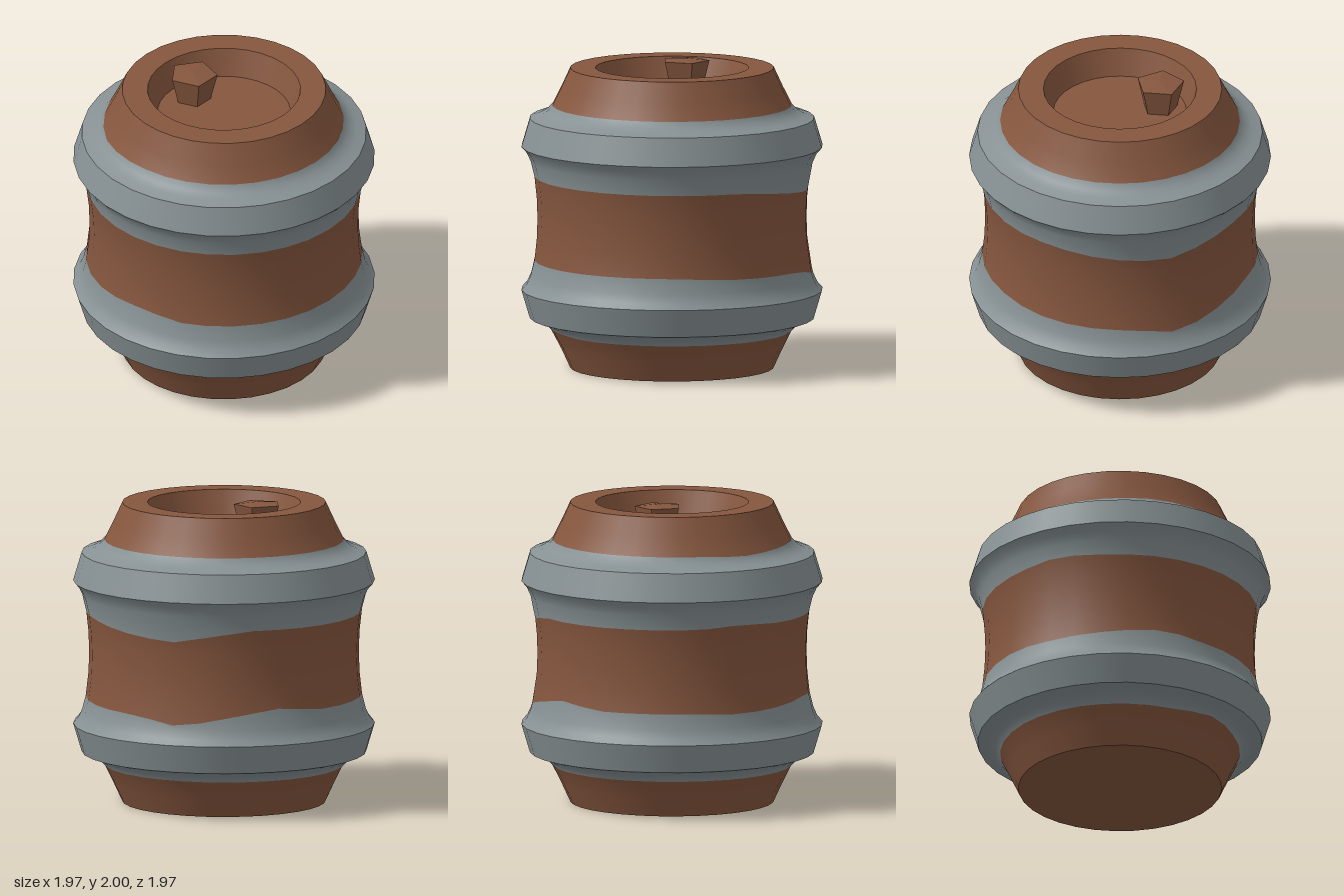
import * as THREE from 'three';

const SIDES = 32;
const HEIGHT = 1.975;

export function createModel() {
  const wood = new THREE.MeshStandardMaterial({ color: 0x85563e });
  wood.name = 'brown wood';
  const iron = new THREE.MeshStandardMaterial({ color: 0x879194 });
  iron.name = 'grey iron';

  const barrel = new THREE.Group();
  barrel.name = 'barrel';

  function add(name, geometry, materials) {
    const mesh = new THREE.Mesh(geometry, materials);
    mesh.name = name;
    barrel.add(mesh);
    return mesh;
  }

  const lathe = (points) =>
    new THREE.LatheGeometry(points.map(([r, y]) => new THREE.Vector2(r, y)), SIDES);

  // Height offset of a colour edge, from [degrees, offset] pairs round the barrel
  function offsetAt(wave, degrees) {
    const k = wave.findIndex(([a]) => a >= degrees);
    if (k <= 0) return wave[0][1];
    const [a0, d0] = wave[k - 1];
    const [a1, d1] = wave[k];
    return d0 + (d1 - d0) * (degrees - a0) / (a1 - a0);
  }

  function radiusAt(points, y) {
    let k = 1;
    while (k < points.length - 1 && points[k][1] < y) k++;
    const [r0, y0] = points[k - 1];
    const [r1, y1] = points[k];
    return r0 + (r1 - r0) * (y - y0) / (y1 - y0);
  }

  // Smooth lathed wall whose colour changes at uneven edges: rows lists {row, wave}
  function paintedWall(name, points, edges, materials) {
    const geometry = lathe(points);
    const pos = geometry.attributes.position;
    const rowCount = points.length;
    for (const { row, wave } of edges) {
      for (let i = 0; i <= SIDES; i++) {
        const phi = (i / SIDES) * Math.PI * 2;
        const y = points[row][1] + offsetAt(wave, (i / SIDES) * 360);
        const r = radiusAt(points, y);
        pos.setXYZ(i * rowCount + row, r * Math.sin(phi), y, r * Math.cos(phi));
      }
    }
    // Sort the faces into one group per colour
    const lists = materials.map(() => []);
    const index = geometry.index.array;
    for (let i = 0; i < SIDES; i++) {
      for (let j = 0; j < rowCount - 1; j++) {
        const zone = edges.filter((e) => e.row <= j).length;
        const start = (i * (rowCount - 1) + j) * 6;
        lists[zone].push(...index.slice(start, start + 6));
      }
    }
    geometry.setIndex(lists.flat());
    let start = 0;
    lists.forEach((list, k) => {
      geometry.addGroup(start, list.length, k);
      start += list.length;
    });
    add(name, geometry, materials);
  }

  const flip = (points) => points.map(([r, y]) => [r, HEIGHT - y]).reverse();

  // Flared ends
  const foot = [[0.665, 0], [0.725, 0.13], [0.785, 0.25], [0.82, 0.285], [0.865, 0.31], [0.93, 0.33]];
  paintedWall('lowerShoulder', foot, [
    { row: 2, wave: [[0, -0.005], [12, -0.005], [35, 0.02], [60, 0], [360, -0.005]] },
  ], [wood, iron]);
  paintedWall('upperShoulder', flip(foot), [
    { row: 3, wave: [[0, 0.005], [300, 0.005], [324, -0.01], [360, 0.005]] },
  ], [iron, wood]);

  // Metal bands
  const band = [[0.93, 0.33], [0.985, 0.515]];
  add('lowerBand', lathe(band), iron);
  add('upperBand', lathe(flip(band)), iron);

  // Waist between the bands
  const halfWaist = [[0.985, 0.515], [0.95, 0.555], [0.925, 0.61], [0.9, 0.71], [0.885, 0.85]];
  const waist = [...halfWaist, [0.88, HEIGHT / 2], ...flip(halfWaist)];
  paintedWall('waist', waist, [
    { row: 3, wave: [[0, 0.025], [5, 0.03], [22, 0], [110, 0], [137, -0.02], [175, -0.03],
      [194, -0.08], [210, -0.03], [235, 0.035], [258, 0], [300, 0], [318, -0.015], [340, 0], [360, 0.025]] },
    { row: 7, wave: [[0, 0], [140, -0.01], [165, -0.05], [190, -0.085], [210, -0.03],
      [225, 0], [300, 0], [318, 0.02], [340, 0], [360, 0]] },
  ], [iron, wood, iron]);

  // Base, rim and sunken lid
  add('base', lathe([[0, 0], [0.665, 0]]), wood);
  add('rim', lathe([[0.665, HEIGHT], [0.5, HEIGHT]]), wood);
  add('recessWall', lathe([[0.5, HEIGHT], [0.435, 1.8]]), wood);
  add('lid', lathe([[0.435, 1.8], [0, 1.8]]), wood);

  // Five-sided tapered plug with a slightly raised top
  const plugShape = new THREE.CylinderGeometry(0.16, 0.115, 0.185, 5, 1, false, -Math.PI / 2);
  const p = plugShape.attributes.position;
  for (let i = 0; i < p.count; i++) {
    if (Math.hypot(p.getX(i), p.getZ(i)) < 0.001 && p.getY(i) > 0) p.setY(i, p.getY(i) + 0.015);
  }
  const plugGeometry = plugShape.toNonIndexed();
  plugGeometry.clearGroups();
  plugGeometry.computeVertexNormals();
  add('plug', plugGeometry, wood).position.set(-0.265, 1.8925, 0);

  return barrel;
}
